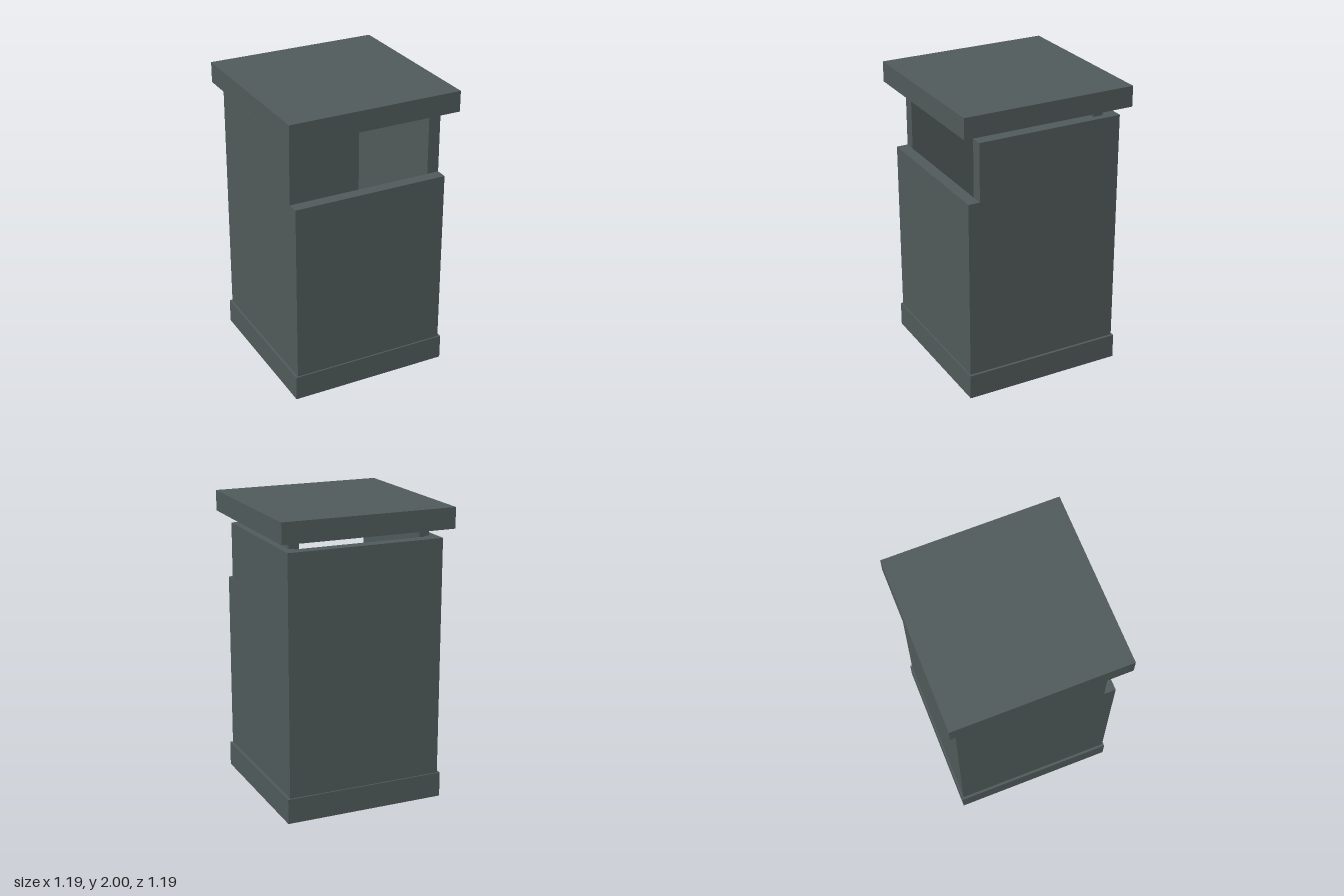
import * as THREE from 'three';

export function createModel() {
  const model = new THREE.Group();
  model.name = 'litterBin';
  const slate = new THREE.MeshStandardMaterial({ color: 0x525c5c });
  slate.name = 'slate grey';

  // Box given by its minimum and maximum on each axis
  function box(name, [x0, x1], [y0, y1], [z0, z1]) {
    const mesh = new THREE.Mesh(new THREE.BoxGeometry(x1 - x0, y1 - y0, z1 - z0), slate);
    mesh.position.set((x0 + x1) / 2, (y0 + y1) / 2, (z0 + z1) / 2);
    mesh.name = name;
    model.add(mesh);
  }

  const outerX = 0.538, innerX = 0.455;
  const outerZ = 0.545, innerZ = 0.465;
  const baseTop = 0.17, frontTop = 1.4, wallTop = 1.795;
  const lidBottom = 1.86;

  // Plinth, which also closes the bottom of the hollow body
  box('base', [-0.555, 0.555], [0, baseTop], [-0.555, 0.555]);

  // Hollow body with a low front wall that leaves the opening
  box('frontWall', [-outerX, outerX], [baseTop, frontTop], [innerZ, outerZ]);
  box('backWall', [-innerX, innerX], [baseTop, wallTop], [-outerZ, -innerZ]);

  // Side walls and the posts that carry the lid
  for (const [side, s] of [['left', 1], ['right', -1]]) {
    const span = (a, b) => [Math.min(a * s, b * s), Math.max(a * s, b * s)];
    box(side + 'Wall', span(innerX, outerX), [baseTop, wallTop], [-outerZ, innerZ]);
    box(side + 'LidPost', span(0.42, 0.49), [1.55, lidBottom], [-0.445, -0.375]);
  }

  // Overhanging lid
  box('lid', [-0.597, 0.597], [lidBottom, 2], [-0.597, 0.597]);

  return model;
}
